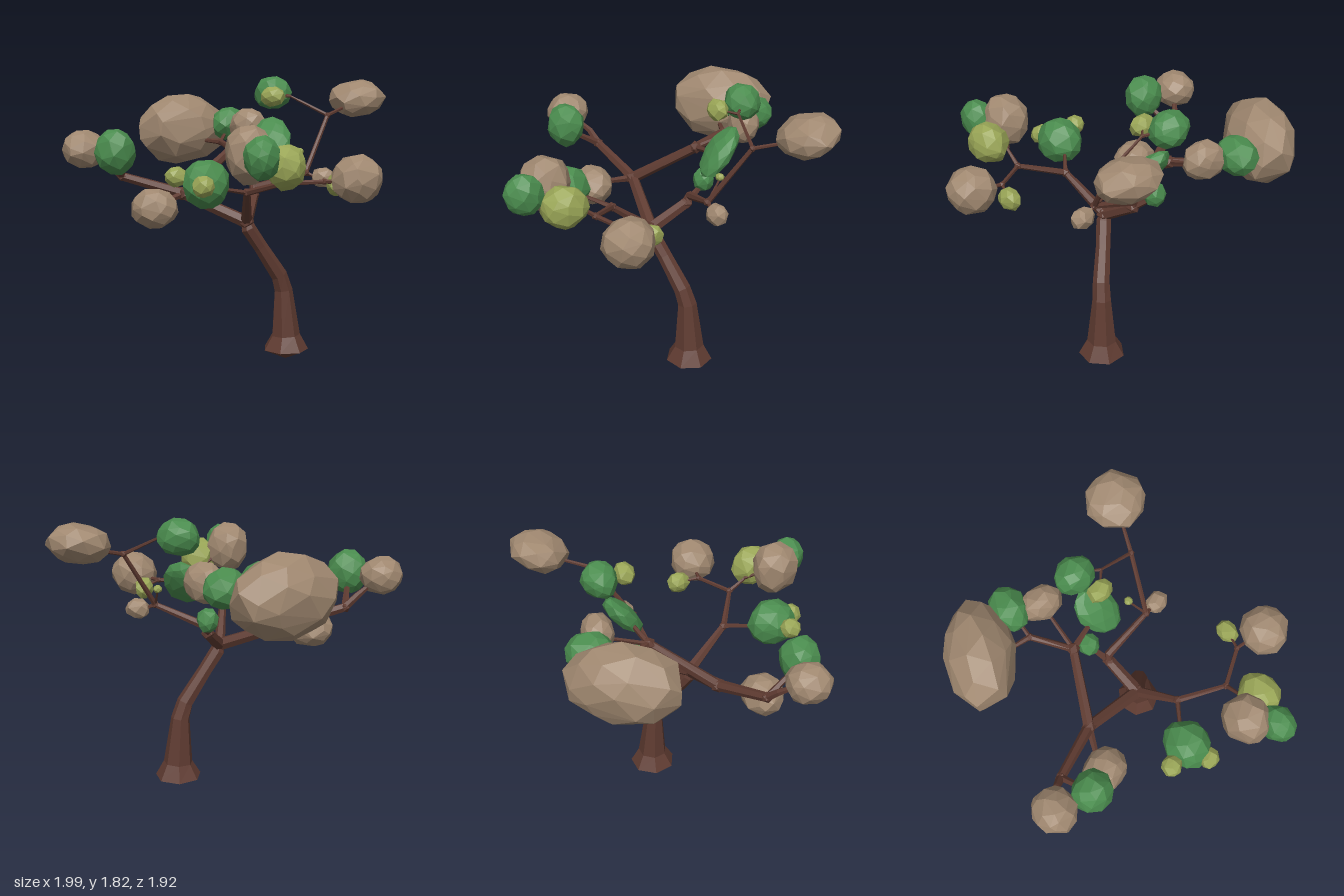
import * as THREE from 'three';
import { ConvexGeometry } from 'three/addons/geometries/ConvexGeometry.js';

const flat = (color) => new THREE.MeshStandardMaterial({ color, flatShading: true });
const V = (p) => new THREE.Vector3(p[0], p[1], p[2]);

// Faceted limb through points [x, y, z, radius]
function limbGeometry(points, sides) {
  const centres = points.map(V);
  const rings = [];
  let normal = new THREE.Vector3(0, 0, 1);
  centres.forEach((c, i) => {
    const before = centres[Math.max(i - 1, 0)];
    const after = centres[Math.min(i + 1, centres.length - 1)];
    const tangent = after.clone().sub(before).normalize();
    if (i === 0 && Math.abs(tangent.z) > 0.8) normal.set(0, 1, 0);
    normal = normal.clone().addScaledVector(tangent, -normal.dot(tangent)).normalize();
    const side = tangent.clone().cross(normal);
    const ring = [];
    for (let j = 0; j < sides; j++) {
      const a = (j / sides) * Math.PI * 2;
      ring.push(c.clone()
        .addScaledVector(normal, Math.cos(a) * points[i][3])
        .addScaledVector(side, Math.sin(a) * points[i][3]));
    }
    rings.push(ring);
  });
  const tris = [];
  for (let i = 0; i < rings.length - 1; i++) {
    for (let j = 0; j < sides; j++) {
      const k = (j + 1) % sides;
      const [a, b, c, d] = [rings[i][j], rings[i][k], rings[i + 1][k], rings[i + 1][j]];
      tris.push(a, b, c, a, c, d);
    }
  }
  const geometry = new THREE.BufferGeometry().setFromPoints(tris);
  geometry.computeVertexNormals();
  return geometry;
}

// Rough faceted clump: hull of jittered points on an ellipsoid
function clumpGeometry(size, seed) {
  let s = seed * 7919 + 17;
  const rand = () => (s = (s * 16807) % 2147483647) / 2147483647;
  const count = Math.max(...size) > 0.09 ? 44 : 26;
  const points = [];
  for (let i = 0; i < count; i++) {
    const y = 1 - (2 * (i + 0.5)) / count;
    const a = i * 2.39996 + (rand() - 0.5) * 0.5;
    const r = Math.sqrt(1 - y * y);
    const k = 0.97 + rand() * 0.08;
    points.push(new THREE.Vector3(Math.cos(a) * r * size[0], y * size[1], Math.sin(a) * r * size[2]).multiplyScalar(k));
  }
  return new ConvexGeometry(points);
}

export function createModel() {
  const tree = new THREE.Group();
  tree.name = 'tree';
  const bark = flat(0x5f3b31);
  const leaves = { tan: flat(0xa08870), green: flat(0x4a8c4e), lime: flat(0x99a556) };

  // Forks shared by the limbs
  const crown = [0.095, 0.92, 0];
  const rightFork = [-0.32, 1.085, 0];
  const rightTip = [-0.68, 1.2, 0.14];
  const backFork = [-0.1, 1.345, -0.35];
  const backTip = [-0.24, 1.375, -0.58];
  const lowFork = [0.08, 1.06, -0.235];
  const leftFork = [0.42, 1.215, -0.25];
  const highFork = [0.515, 1.57, -0.48];
  const highTip = [0.27, 1.69, -0.48];
  const frontFork = [0.17, 1.14, 0.27];
  const frontBend = [0.42, 1.22, 0.43];
  const frontTip = [0.645, 1.225, 0.31];

  const addLimb = (name, points, sides = 6) => {
    const mesh = new THREE.Mesh(limbGeometry(points, sides), bark);
    mesh.name = name;
    tree.add(mesh);
  };

  // Trunk with flared foot and pointed underside
  addLimb('trunk', [
    [0.31, 0, -0.19, 0.001], [0.31, 0.065, -0.19, 0.148], [0.31, 0.16, -0.19, 0.094],
    [0.295, 0.46, -0.178, 0.06], [0.272, 0.56, -0.15, 0.054], [0.17, 0.755, -0.065, 0.046],
    [0.105, 0.88, -0.005, 0.048], [0.09, 0.96, 0, 0.02],
  ], 7);

  // Main branches
  addLimb('rightBranch', [[...crown, 0.042], [...rightFork, 0.036], [...rightTip, 0.028], [-0.745, 1.27, 0.18, 0.022], [-0.82, 1.34, 0.26, 0.012]]);
  addLimb('rightBackBranch', [[...rightFork, 0.036], [...backFork, 0.03], [...backTip, 0.02], [-0.42, 1.385, -0.61, 0.01]]);
  addLimb('lowBranch', [[...crown, 0.042], [...lowFork, 0.036], [0.09, 1.11, -0.25, 0.027], [...leftFork, 0.018], [...highFork, 0.014], [0.62, 1.63, -0.68, 0.01]]);
  addLimb('frontBranch', [[...crown, 0.036], [...frontFork, 0.022], [...frontBend, 0.016], [...frontTip, 0.013], [0.76, 1.235, 0.33, 0.009]]);

  // Twigs reaching into the clumps
  const twigs = [
    [rightTip, [-0.65, 1.3, 0.3], 0.024],
    [rightFork, [-0.41, 1.04, 0.16], 0.024],
    [backTip, [-0.23, 1.45, -0.7], 0.014],
    [backFork, [-0.07, 1.44, -0.6], 0.016],
    [backFork, [0.1, 1.39, -0.39], 0.02],
    [lowFork, [0.04, 1.14, -0.34], 0.024],
    [leftFork, [0.5, 1.18, -0.265], 0.013],
    [leftFork, [0.36, 1.33, -0.345], 0.009],
    [highFork, highTip, 0.012],
    [highTip, [0.17, 1.71, -0.54], 0.01],
    [highTip, [0.19, 1.69, -0.41], 0.009],
    [frontFork, [0.03, 1.18, 0.43], 0.016],
    [[0.03, 1.19, 0.45], [-0.17, 1.25, 0.55], 0.008],
    [frontTip, [0.69, 1.2, 0.2], 0.01],
    [frontBend, [0.41, 1.3, 0.54], 0.015],
    [[0.41, 1.3, 0.53], [0.32, 1.38, 0.66], 0.012],
    [[0.41, 1.3, 0.53], [0.4, 1.38, 0.79], 0.011],
  ];
  twigs.forEach(([from, to, r], i) => addLimb('twig' + (i + 1), [[...from, r], [...to, r * 0.65]], 5));

  // Swollen joints at the forks
  const joints = [
    [crown, 0.052], [rightFork, 0.048], [rightTip, 0.034], [backFork, 0.042], [backTip, 0.026], [lowFork, 0.042],
    [leftFork, 0.026], [highFork, 0.022], [frontFork, 0.03], [frontBend, 0.024], [frontTip, 0.02],
  ];
  joints.forEach(([at, r], i) => {
    const joint = new THREE.Mesh(new THREE.IcosahedronGeometry(r, 0), bark);
    joint.name = 'joint' + (i + 1);
    joint.position.copy(V(at));
    tree.add(joint);
  });

  // Foliage: colour, centre, half sizes, optional rotation
  const clumps = [
    ['tan', [-0.54, 1.45, -0.67], [0.21, 0.24, 0.345], [0, -0.64, 0]],
    ['tan', [-0.865, 1.38, 0.3], [0.135, 0.12, 0.14]],
    ['tan', [-0.43, 1.02, 0.245], [0.152, 0.125, 0.13]],
    ['tan', [-0.065, 1.48, -0.65], [0.135, 0.12, 0.1], [0, -0.3, 0]],
    ['tan', [0.66, 1.675, -0.755], [0.19, 0.12, 0.18], [0.25, 0, 0]],
    ['tan', [0.53, 1.185, -0.268], [0.08, 0.068, 0.065]],
    ['tan', [0.84, 1.25, 0.35], [0.15, 0.145, 0.155]],
    ['tan', [0.29, 1.405, 0.69], [0.14, 0.17, 0.155]],
    ['green', [-0.635, 1.375, 0.365], [0.13, 0.145, 0.12]],
    ['green', [-0.23, 1.49, -0.755], [0.115, 0.115, 0.145], [0, -0.3, 0]],
    ['green', [0.16, 1.41, -0.41], [0.125, 0.185, 0.065], [-0.7, 0, 0.3]],
    ['green', [0.03, 1.18, -0.36], [0.07, 0.078, 0.07]],
    ['green', [0.13, 1.71, -0.555], [0.128, 0.11, 0.108]],
    ['green', [-0.01, 1.215, 0.52], [0.14, 0.145, 0.155]],
    ['green', [0.4, 1.4, 0.835], [0.1, 0.125, 0.115]],
    ['lime', [0.485, 1.335, 0.625], [0.118, 0.13, 0.14]],
    ['lime', [0.17, 1.69, -0.388], [0.085, 0.068, 0.064]],
    ['lime', [-0.18, 1.255, 0.56], [0.066, 0.062, 0.066]],
    ['lime', [0.02, 1.215, 0.67], [0.066, 0.066, 0.066]],
    ['lime', [0.695, 1.195, 0.185], [0.06, 0.072, 0.08]],
    ['lime', [0.36, 1.34, -0.345], [0.028, 0.024, 0.028]],
  ];
  clumps.forEach(([color, at, size, rotation = [0, 0, 0]], i) => {
    const clump = new THREE.Mesh(clumpGeometry(size, i + 1), leaves[color]);
    clump.name = color + 'Foliage' + (i + 1);
    clump.position.copy(V(at));
    clump.rotation.set(...rotation);
    tree.add(clump);
  });

  return tree;
}
